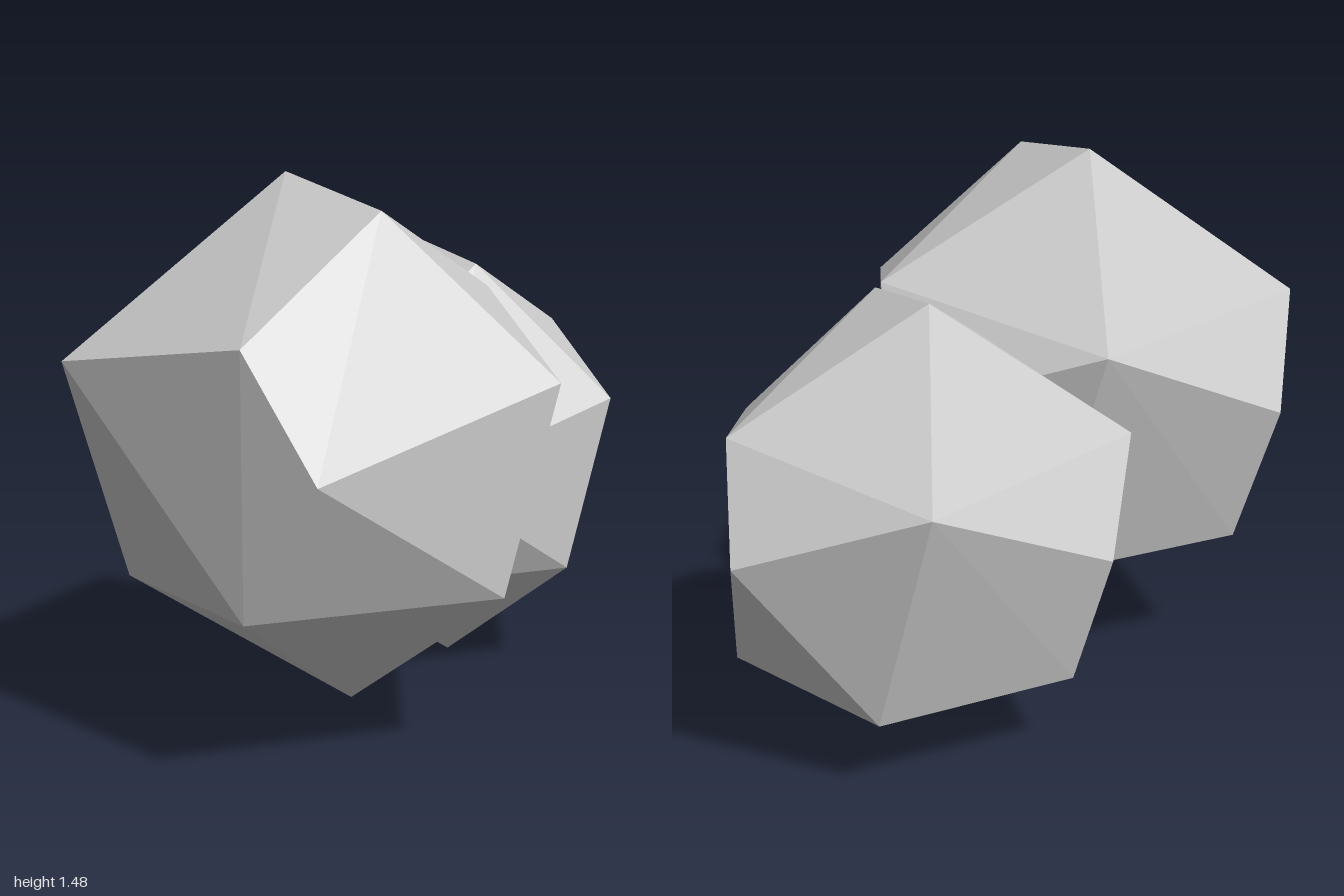
import * as THREE from 'three';
import { ConvexGeometry } from 'three/addons/geometries/ConvexGeometry.js';

// Corners of one faceted boulder, from crown to foot
const CORNERS = [
  [-0.11, 1.48, 0.28], [0.22, 1.42, 0.52],                        // crown
  [0.0, 1.14, 0.935], [0.34, 1.14, -0.105],                       // shoulders
  [-0.57, 1.03, 0.69], [-0.37, 1.04, -0.16], [0.66, 1.0, 0.44],
  [0.21, 0.84, 1.0], [0.21, 0.84, -0.29], [-0.67, 0.77, 0.36],    // waist
  [0.0, 0.465, 0.935], [0.34, 0.465, -0.105], [0.55, 0.465, 0.545],
  [-0.54, 0.37, 0.37], [-0.15, 0.355, -0.105],                    // underside
  [0.12, 0.12, 0.45],                                             // foot
];

export function createModel() {
  const group = new THREE.Group();
  group.name = 'boulders';
  const material = new THREE.MeshStandardMaterial({ color: 0xcccccc, flatShading: true });
  const boulder = new ConvexGeometry(CORNERS.map((c) => new THREE.Vector3(...c)));

  const addBoulder = (name, scale, position) => {
    const mesh = new THREE.Mesh(boulder, material);
    mesh.name = name;
    mesh.scale.set(...scale);
    mesh.position.set(...position);
    group.add(mesh);
  };

  // The rear boulder is a smaller, lower copy that overlaps the front one
  addBoulder('frontBoulder', [1, 1, 1], [0, 0, 0]);
  addBoulder('rearBoulder', [0.865, 0.903, 0.92], [0.08, -0.108, -0.733]);
  return group;
}
